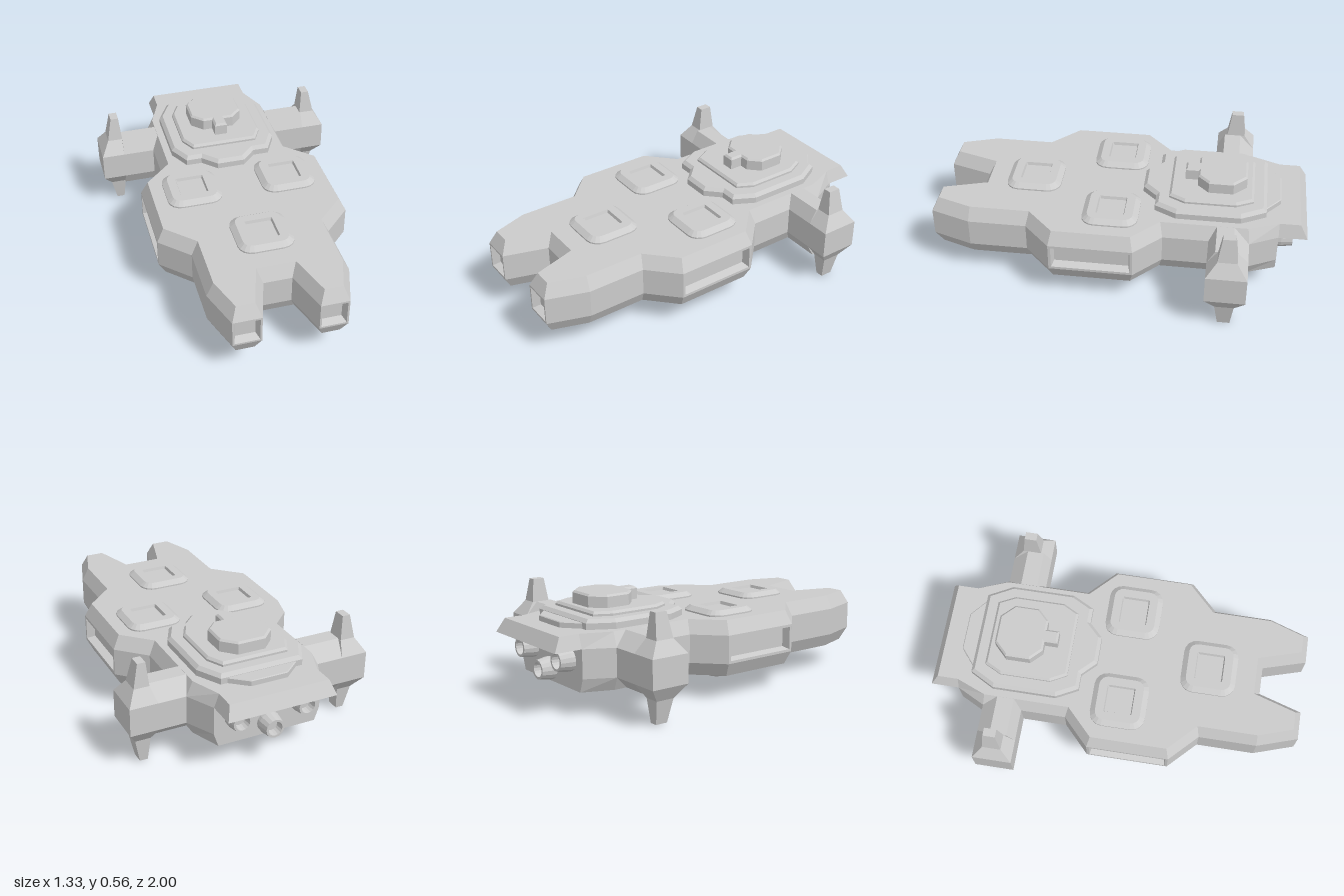
import * as THREE from 'three';

const material = new THREE.MeshStandardMaterial({ color: 0xcccccc, flatShading: true });
const MID = 0.2775; // height of the hull's middle plane
const HALF = 0.1475; // half thickness of the hull
const BAND = 0.075; // half height of the vertical side band

function meshFrom(name, positions) {
  const g = new THREE.BufferGeometry();
  g.setAttribute('position', new THREE.Float32BufferAttribute(positions, 3));
  g.computeVertexNormals();
  const m = new THREE.Mesh(g, material);
  m.name = name;
  return m;
}

const tri = (out, a, b, c) => out.push(...a, ...b, ...c);
const quad = (out, a, b, c, d) => { tri(out, a, b, c); tri(out, a, c, d); };

// Right half of an outline, front to back, completed by mirroring
const mirrored = (half) => [...half, ...half.map(([x, z]) => [-x, z]).reverse()];

const rect = (x0, x1, z0, z1) => [[x0, z1], [x1, z1], [x1, z0], [x0, z0]];

// Moves every edge of an [x, z] outline inward by w
function inset(pts, w) {
  const n = pts.length;
  const normal = (p, q) => {
    const dx = q[0] - p[0], dz = q[1] - p[1], l = Math.hypot(dx, dz);
    return [dz / l, -dx / l];
  };
  return pts.map((p, i) => {
    const a = normal(pts[(i + n - 1) % n], p), b = normal(p, pts[(i + 1) % n]);
    const k = w / (1 + a[0] * b[0] + a[1] * b[1]);
    return [p[0] + (a[0] + b[0]) * k, p[1] + (a[1] + b[1]) * k];
  });
}

// Skin over stacked [y, outline] rings, closed at both ends
function loft(rings, skip = () => false) {
  const out = [];
  const r = rings.map(([y, pts]) => pts.map(([x, z]) => [x, y, z]));
  const n = r[0].length;
  for (let k = 0; k + 1 < r.length; k++) {
    for (let i = 0; i < n; i++) {
      const j = (i + 1) % n;
      if (!skip(k, i)) quad(out, r[k][i], r[k][j], r[k + 1][j], r[k + 1][i]);
    }
  }
  const cap = (ring, flip) => {
    const flat = ring.map(([x, , z]) => new THREE.Vector2(x, -z));
    for (const [a, b, c] of THREE.ShapeUtils.triangulateShape(flat, [])) {
      if (flip) tri(out, ring[a], ring[c], ring[b]);
      else tri(out, ring[a], ring[b], ring[c]);
    }
  };
  cap(r[0], true);
  cap(r[r.length - 1], false);
  return out;
}

// Raised plate with a bevelled upper edge
function plate(name, half, y0, y1, bevel) {
  const p = mirrored(half);
  return meshFrom(name, loft([[y0, p], [y1 - bevel, p], [y1, inset(p, bevel)]]));
}

// Side panel from p to q with a sunken opening; steps are [inset, depth]
function recess(out, p, q, steps) {
  const a = new THREE.Vector3(p[0], MID, p[1]);
  const b = new THREE.Vector3(q[0], MID, q[1]);
  const u = b.clone().sub(a).normalize();
  const inward = new THREE.Vector3(u.z, 0, -u.x);
  const corners = ([w, d]) => {
    const l = a.clone().addScaledVector(u, w).addScaledVector(inward, d);
    const r = b.clone().addScaledVector(u, -w).addScaledVector(inward, d);
    const h = BAND - w;
    return [[l.x, MID - h, l.z], [r.x, MID - h, r.z], [r.x, MID + h, r.z], [l.x, MID + h, l.z]];
  };
  let prev = corners([0, 0]);
  for (const s of steps) {
    const next = corners(s);
    for (let i = 0; i < 4; i++) {
      const j = (i + 1) % 4;
      quad(out, prev[i], prev[j], next[j], next[i]);
    }
    prev = next;
  }
  quad(out, ...prev);
}

// Hull with chamfered edges, sunken nose ports and side bays
function makeHull() {
  const outer = mirrored([
    [0.075, 0.77], [0.145, 1], [0.295, 1], [0.367, 0.785], [0.367, 0.475], [0.515, 0.33],
    [0.515, -0.11], [0.37, -0.25], [0.37, -0.7], [0.295, -0.85],
  ]);
  const inner = inset(outer, 0.037);
  // the stern wall is upright
  inner[9] = [0.27, -0.85];
  inner[10] = [-0.27, -0.85];
  const openings = {
    1: [[0.01, 0], [0.024, 0.04]], 17: [[0.01, 0], [0.024, 0.04]],
    5: [[0.014, 0], [0.024, 0.045]], 13: [[0.014, 0], [0.024, 0.045]],
  };
  const out = loft(
    [[MID - HALF, inner], [MID - BAND, outer], [MID + BAND, outer], [MID + HALF, inner]],
    (k, i) => k === 1 && i in openings,
  );
  for (const [i, steps] of Object.entries(openings)) recess(out, outer[+i], outer[+i + 1], steps);
  return meshFrom('hull', out);
}

// Square with rounded corners as an outline
function roundedSquare(size, r) {
  const pts = [], c = size / 2 - r;
  for (const [sx, sz, start] of [[1, 1, 0], [1, -1, 1], [-1, -1, 2], [-1, 1, 3]]) {
    for (let k = 0; k <= 4; k++) {
      const a = (start + k / 4) * Math.PI / 2;
      pts.push([sx * c + r * Math.sin(a), sz * c + r * Math.cos(a)]);
    }
  }
  return pts;
}

// Hatch pad with a sunken centre, resting on y = 0
function makePad() {
  const base = roundedSquare(0.295, 0.07), pit = roundedSquare(0.15, 0.006);
  return meshFrom('hatchPad', loft([
    [-0.01, base], [0.008, base], [0.03, roundedSquare(0.24, 0.045)],
    [0.03, pit], [0.014, roundedSquare(0.14, 0.006)],
  ]));
}

// Wing beam and its two-ended spike, centred on the middle plane
function makeWing() {
  const g = new THREE.Group();
  const crest = (x0, x1) => rect(x0, x1, -0.62, -0.53);
  const edge = (x0, x1) => rect(x0, x1, -0.7, -0.49);
  g.add(meshFrom('wingBeam', loft([
    [-HALF, crest(0.334, 0.54)], [-BAND, edge(0.334, 0.54)],
    [BAND, edge(0.334, 0.54)], [HALF, crest(0.334, 0.54)],
  ])));
  const tip = rect(0.55, 0.593, -0.63, -0.565);
  const root = rect(0.538, 0.62, -0.645, -0.545);
  const body = rect(0.517, 0.665, -0.7, -0.49);
  g.add(meshFrom('wingSpike', loft([
    [-MID, tip], [-HALF, root], [-BAND, body], [BAND, body], [HALF, root], [0.273, tip],
  ])));
  return g;
}

// Hollow tapered thruster pointing backward
function makeThruster(x, y) {
  const profile = [[0.058, -0.02], [0.06, 0.02], [0.05, 0.08], [0.038, 0.08], [0.034, 0.035], [0, 0.035]];
  const g = new THREE.LatheGeometry(profile.map(([r, h]) => new THREE.Vector2(r, h)), 16);
  const m = new THREE.Mesh(g, material);
  m.name = 'thruster';
  m.rotation.x = -Math.PI / 2;
  m.position.set(x, y, -0.85);
  return m;
}

export function createModel() {
  const model = new THREE.Group();
  model.name = 'spaceship';
  const top = MID + HALF, bottom = MID - HALF;
  model.add(makeHull());

  // Stern overhang
  model.add(meshFrom('sternOverhang', loft([
    [MID + BAND, rect(-0.295, 0.295, -1, -0.85)],
    [top, rect(-0.27, 0.27, -0.96, -0.85)],
  ])));

  // Wings, the second turned half a turn about the long axis
  for (const [name, turn] of [['leftWing', 0], ['rightWing', Math.PI]]) {
    const wing = makeWing();
    wing.name = name;
    wing.position.y = MID;
    wing.rotation.z = turn;
    model.add(wing);
  }

  // Hatch pads above and below
  for (const [x, z] of [[-0.26, 0.03], [0.26, 0.03], [0, 0.48]]) {
    for (const above of [true, false]) {
      const pad = makePad();
      pad.position.set(x, above ? top : bottom, z);
      pad.rotation.z = above ? 0 : Math.PI;
      model.add(pad);
    }
  }

  // Stepped command deck
  model.add(plate('deckBase', [
    [0.075, -0.12], [0.15, -0.195], [0.235, -0.195], [0.295, -0.31], [0.295, -0.65], [0.225, -0.78],
  ], top - 0.01, 0.475, 0.018));
  model.add(plate('deckStep', [[0.18, -0.265], [0.225, -0.35], [0.225, -0.62], [0.18, -0.71]], 0.46, 0.498, 0.012));
  model.add(plate('deckRearStep', [[0.19, -0.76], [0.19, -0.78], [0.1, -0.855]], top - 0.01, 0.455, 0.004));
  model.add(plate('turret', [
    [0.035, -0.34], [0.035, -0.41], [0.085, -0.41], [0.145, -0.47], [0.145, -0.6], [0.075, -0.67],
  ], 0.48, 0.565, 0.01));

  // Keel plate under the hull
  const keel = plate('keelPlate', [
    [0.06, -0.225], [0.1, -0.28], [0.1, -0.39], [0.165, -0.45], [0.165, -0.62], [0.1, -0.7],
  ], -0.01, 0.037, 0.02);
  keel.rotation.z = Math.PI;
  keel.position.y = bottom;
  model.add(keel);

  // Thrusters
  for (const [x, y] of [[-0.18, 0.28], [0, 0.2], [0.18, 0.28]]) model.add(makeThruster(x, y));
  return model;
}
